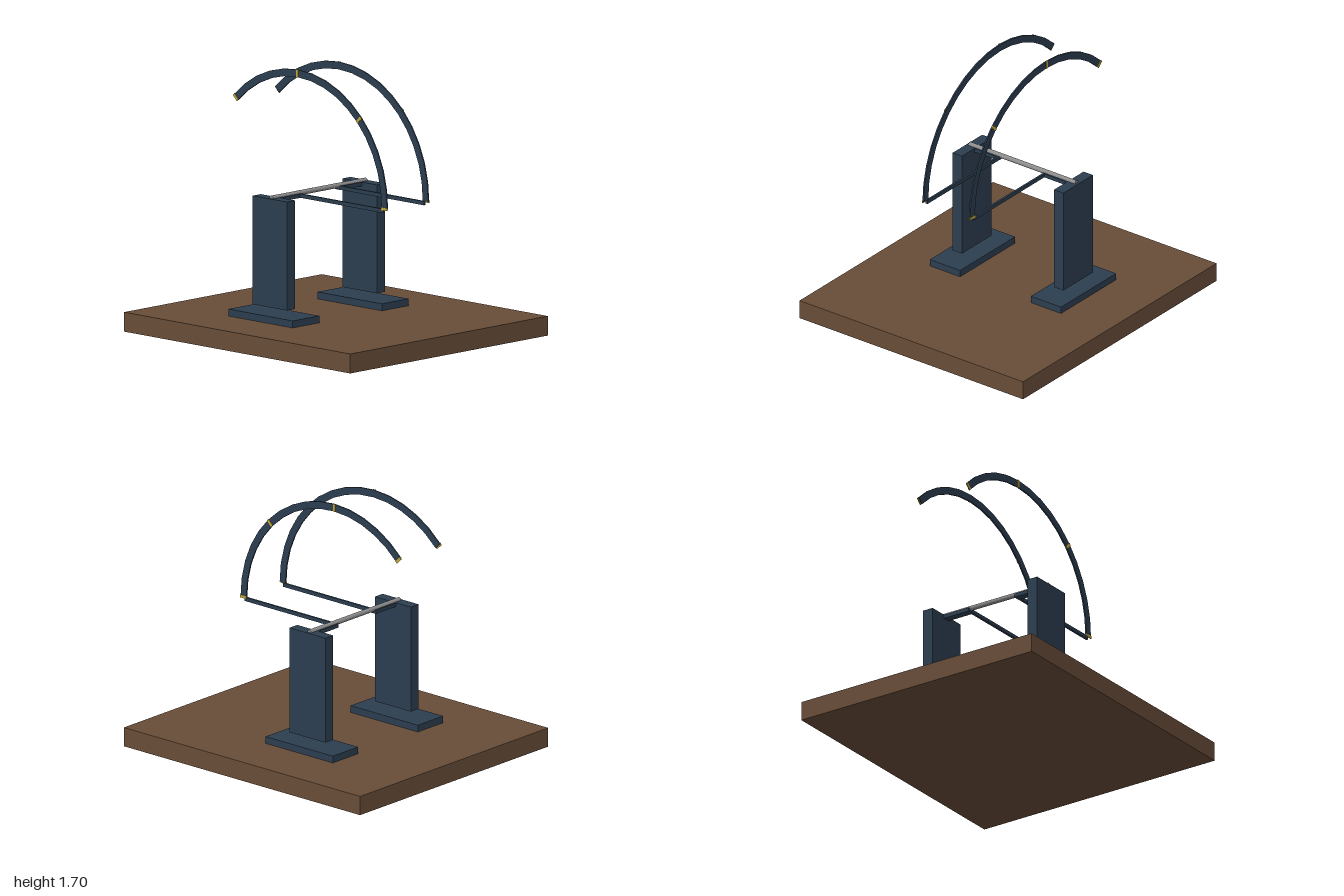
import * as THREE from 'three';

const material = (name, color) => Object.assign(new THREE.MeshStandardMaterial({ color }), { name });

export function createModel() {
  const wood = material('brown wood', 0x684d38);
  const steel = material('dark blue steel', 0x2c3e50);
  const silver = material('grey metal', 0x8c8c8c);
  const brass = material('yellow brass', 0xc4a83a);

  const model = new THREE.Group();
  model.name = 'pivotStand';

  const add = (parent, name, geometry, mat, x = 0, y = 0, z = 0) => {
    const mesh = new THREE.Mesh(geometry, mat);
    mesh.name = name;
    mesh.position.set(x, y, z);
    parent.add(mesh);
    return mesh;
  };
  const box = (parent, name, mat, [x0, x1], [y0, y1], [z0, z1]) =>
    add(parent, name, new THREE.BoxGeometry(x1 - x0, y1 - y0, z1 - z0), mat,
      (x0 + x1) / 2, (y0 + y1) / 2, (z0 + z1) / 2);

  // Pivot centre shared by the axle and both arcs
  const px = -0.155, py = 0.907;
  const inner = 0.745, outer = 0.793, sweep = Math.PI * 0.75, segments = 15;

  // Faceted curved band covering 135 degrees
  const points = [];
  for (let i = 0; i <= segments; i++) {
    const a = (sweep * i) / segments;
    points.push(new THREE.Vector2(outer * Math.cos(a), outer * Math.sin(a)));
  }
  for (let i = segments; i >= 0; i--) {
    const a = (sweep * i) / segments;
    points.push(new THREE.Vector2(inner * Math.cos(a), inner * Math.sin(a)));
  }
  const bandGeometry = new THREE.ExtrudeGeometry(new THREE.Shape(points), { depth: 0.01, bevelEnabled: false });

  // Base board
  box(model, 'baseBoard', wood, [-1, 1], [0, 0.125], [-0.89, 0.89]);

  // Axle across both posts
  const axle = add(model, 'axle', new THREE.CylinderGeometry(0.016, 0.016, 0.85, 16), silver, px, py, 0);
  axle.rotation.x = Math.PI / 2;

  // Matching supports and arcs at the front and back
  for (const s of [1, -1]) {
    const side = new THREE.Group();
    side.name = s > 0 ? 'frontSupport' : 'backSupport';
    model.add(side);
    const zs = (a, b) => (s > 0 ? [a, b] : [-b, -a]);

    box(side, 'foot', steel, [-0.44, 0.13], [0.125, 0.17], zs(0.282, 0.522));
    box(side, 'post', steel, [-0.305, 0], [0.208, 0.905], zs(0.367, 0.441));
    box(side, 'crossBracket', steel, [-0.18, -0.13], [0.88, 0.905], zs(0.176, 0.367));
    box(side, 'radialArm', steel, [-0.14, 0.605], [0.881, 0.906], zs(0.176, 0.19));
    add(side, 'curvedBand', bandGeometry, steel, px, py, s > 0 ? 0.18 : -0.19);

    // Thin brass marks every 45 degrees on the outer face
    for (let i = 0; i < 4; i++) {
      const a = (i * Math.PI) / 4;
      const r = (inner + outer) / 2;
      const mark = add(side, 'angleMark', new THREE.BoxGeometry(0.05, 0.018, 0.006), brass,
        px + r * Math.cos(a), py + r * Math.sin(a), s * 0.19);
      mark.rotation.z = a;
    }
  }
  return model;
}
